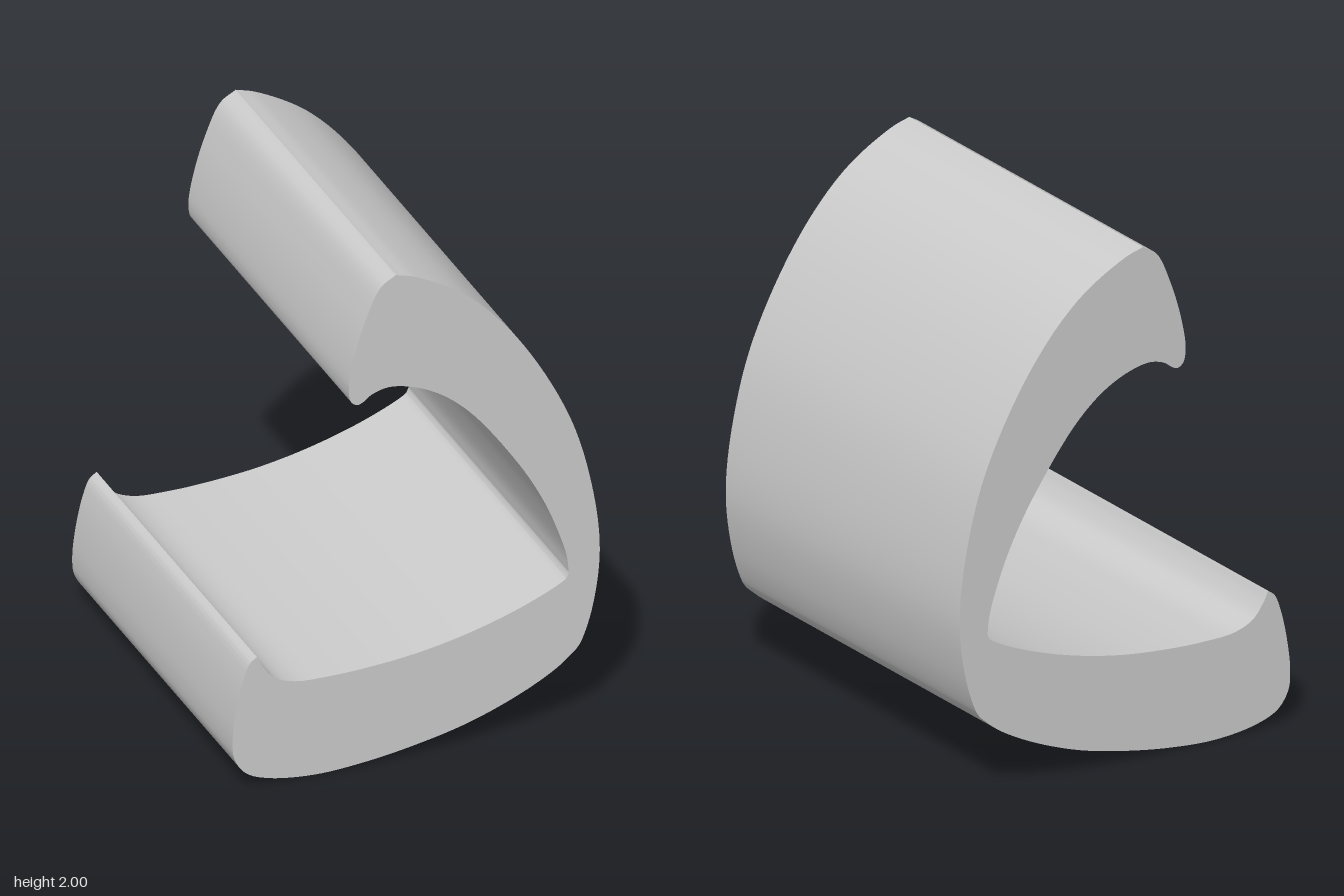
import * as THREE from 'three';
import { toCreasedNormals } from 'three/addons/utils/BufferGeometryUtils.js';

const DEPTH = 1.54;

// Smooth curve through a few [x, y] points
function smooth(points, steps = 8) {
  const curve = new THREE.CatmullRomCurve3(
    points.map(([x, y]) => new THREE.Vector3(x, y, 0)), false, 'centripetal');
  return curve.getPoints((points.length - 1) * steps).map(p => new THREE.Vector2(p.x, p.y));
}

export function createModel() {
  const group = new THREE.Group();
  group.name = 'curvedBracket';

  // Underside and front of the lower jaw, up to the lip
  const lowerOuter = [
    [0.63, 0.31], [0.55, 0.245], [0.4, 0.165], [0.2, 0.09], [0, 0.043], [-0.2, 0.012],
    [-0.4, 0], [-0.58, 0.022], [-0.67, 0.06], [-0.715, 0.125], [-0.723, 0.2],
    [-0.708, 0.33], [-0.68, 0.45], [-0.655, 0.51], [-0.627, 0.532],
  ];
  // Top of the lower jaw, from the lip into the inner corner
  const lowerInner = [
    [-0.627, 0.532], [-0.605, 0.49], [-0.56, 0.435], [-0.48, 0.402], [-0.34, 0.395],
    [-0.2, 0.4], [0, 0.42], [0.2, 0.46], [0.4, 0.521], [0.55, 0.585], [0.59, 0.61], [0.6, 0.63],
  ];
  // Inner side of the arm, around the upper hook
  const upperInner = [
    [0.6, 0.63], [0.592, 0.7], [0.56, 0.805], [0.5, 0.95], [0.4, 1.125], [0.2, 1.385],
    [0.05, 1.497], [-0.1, 1.542], [-0.175, 1.525], [-0.205, 1.503], [-0.23, 1.493],
    [-0.255, 1.508], [-0.266, 1.56], [-0.25, 1.67], [-0.2, 1.835], [-0.14, 1.96], [-0.08, 2],
  ];
  // Outer side of the arm, back down to the lower corner
  const upperOuter = [
    [-0.08, 2], [0, 1.975], [0.2, 1.857], [0.4, 1.64], [0.6, 1.285], [0.69, 0.98],
    [0.722, 0.7], [0.693, 0.47], [0.65, 0.34], [0.63, 0.31],
  ];

  // Join the curves, dropping each shared end point
  const outline = [lowerOuter, lowerInner, upperInner, upperOuter]
    .flatMap(part => smooth(part).slice(0, -1));

  let geometry = new THREE.ExtrudeGeometry(new THREE.Shape(outline),
    { depth: DEPTH, bevelEnabled: false });
  geometry.translate(0, 0, -DEPTH / 2);
  geometry = toCreasedNormals(geometry, 0.6);

  const body = new THREE.Mesh(geometry, new THREE.MeshStandardMaterial({ color: 0xcccccc }));
  body.name = 'bracketBody';
  group.add(body);
  return group;
}
